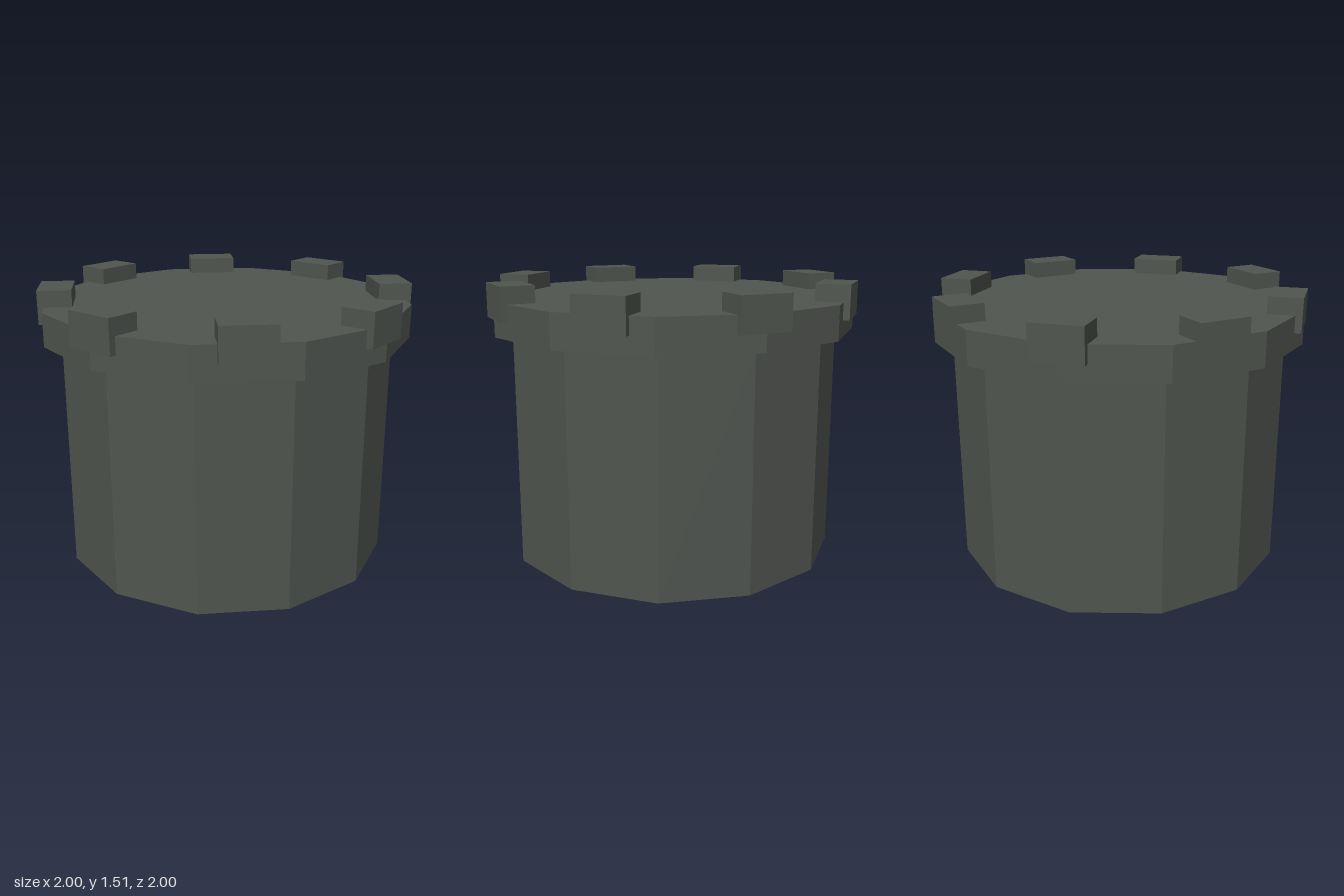
import * as THREE from 'three';

export function createModel() {
  const group = new THREE.Group();
  const stone = new THREE.MeshStandardMaterial({ color: 0x50554f, flatShading: true });
  stone.name = 'dark stone';

  // Twelve-sided drum with corners on the x and z axes
  function addDrum(name, radius, bottom, top) {
    const mesh = new THREE.Mesh(new THREE.CylinderGeometry(radius, radius, top - bottom, 12), stone);
    mesh.name = name;
    mesh.position.y = (bottom + top) / 2;
    group.add(mesh);
  }
  addDrum('towerBody', 0.906, 0, 1.245);
  addDrum('topRim', 1, 1.245, 1.425);

  // Eight battlement blocks set around the rim
  const block = new THREE.BoxGeometry(0.272, 0.18, 0.18);
  for (let i = 0; i < 8; i++) {
    const angle = (i * Math.PI) / 4;
    const merlon = new THREE.Mesh(block, stone);
    merlon.name = `battlement${i + 1}`;
    merlon.position.set(Math.sin(angle) * 0.91, 1.425, Math.cos(angle) * 0.91);
    merlon.rotation.y = angle;
    group.add(merlon);
  }
  return group;
}
